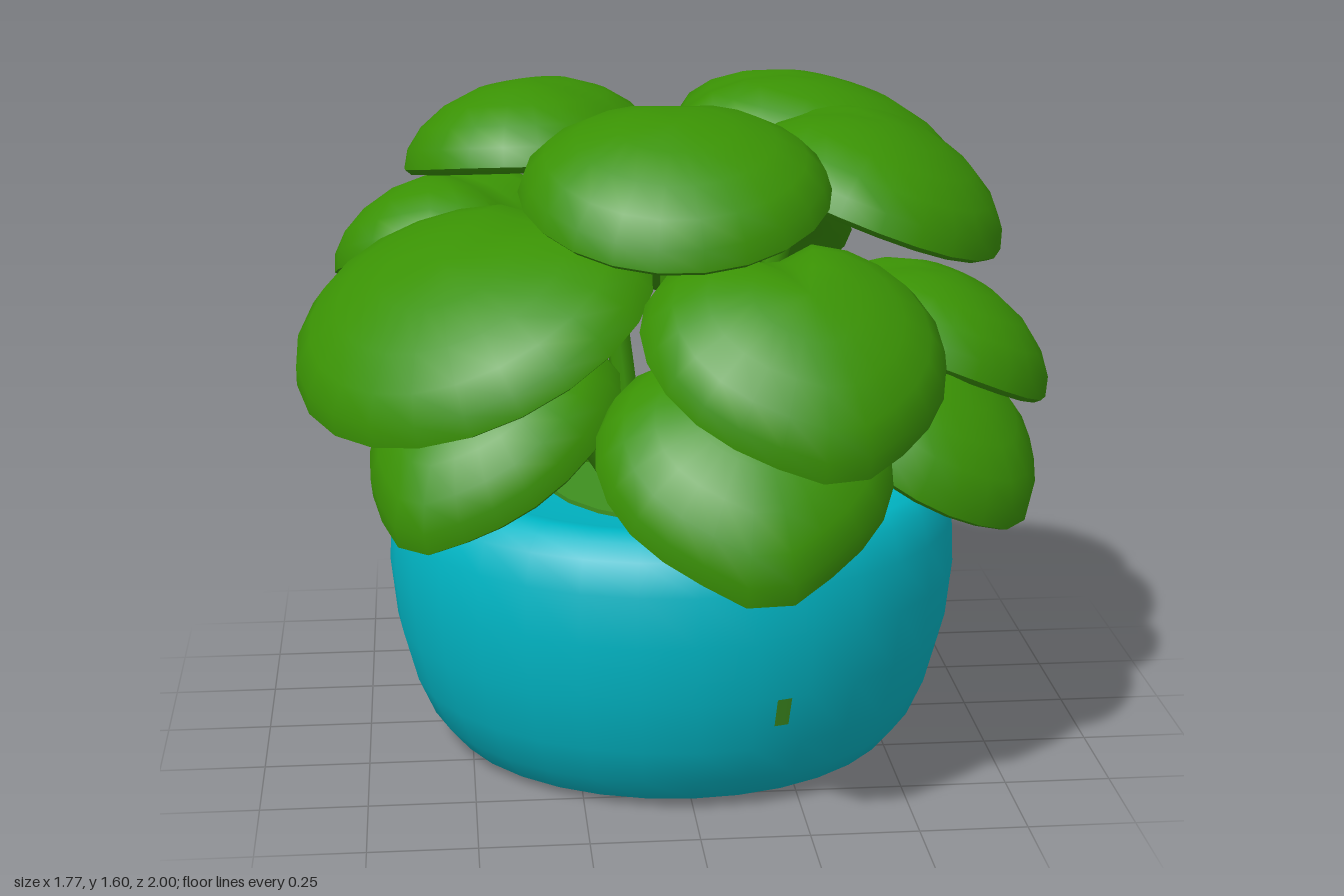
import * as THREE from 'three';
import { mergeVertices, toCreasedNormals } from 'three/addons/utils/BufferGeometryUtils.js';

const rad = THREE.MathUtils.degToRad;

// Domed leaf: convex top, shallow underside, tip towards +z and a notched base
function leafGeometry(halfWidth, halfLength, height, tip, notch) {
  let geo = new THREE.SphereGeometry(1, 22, 10);
  geo.deleteAttribute('uv');
  geo.deleteAttribute('normal');
  geo = mergeVertices(geo);
  const pos = geo.attributes.position;
  for (let i = 0; i < pos.count; i++) {
    const x = pos.getX(i), y = pos.getY(i), z = pos.getZ(i);
    const angle = Math.atan2(x, z);
    const a = Math.abs(angle);
    const s = Math.pow(Math.min(1, Math.hypot(x, z)), 0.85);
    const outline = 1 + tip * Math.exp(-((a / 0.35) ** 2))
      - notch * Math.exp(-(((Math.PI - a) / 0.3) ** 2));
    const u = s * outline * Math.sin(angle);
    const v = s * outline * Math.cos(angle);
    const crease = v < 0 ? 0.25 * notch * v * Math.exp(-((u / 0.2) ** 2)) : 0;
    const bend = -0.06 * v * v - 0.03 * u * u;
    const lift = y > 0 ? y * height + crease : y * 0.055;
    pos.setXYZ(i, u * halfWidth, lift + bend, v * halfLength);
  }
  return toCreasedNormals(geo, 0.75);
}

// x, y, z, half width, half length, heading (0 = front, 90 = +x), pitch, tip, notch
const LEAVES = [
  // upper tier, the right-hand pair overlapping as two lobes
  [-0.03, 1.455, 0.44, 0.35, 0.35, -3, 14, 0, 0.05],
  [0.39, 1.44, -0.18, 0.29, 0.39, 85, 15, 0, 0.1],
  [0.47, 1.39, 0.12, 0.36, 0.34, 70, 20, 0, 0.1],
  [-0.33, 1.455, -0.14, 0.31, 0.31, -120, 6, 0, 0.05],
  // middle tier
  [0.12, 1.13, -0.67, 0.42, 0.42, 172, 33, 0, 0.2],
  [-0.5, 1.15, 0.37, 0.46, 0.41, -50, 28, 0, 0.1],
  [0.21, 1.15, 0.71, 0.34, 0.34, 15, 30, 0.09, 0.25],
  [0.61, 1.04, 0.18, 0.29, 0.31, 85, 21, 0, 0.1],
  [-0.53, 1.18, -0.41, 0.31, 0.3, -128, 17, 0, 0.25],
  // lower tier
  [0.1, 0.9, 0.72, 0.33, 0.33, 5, 33, 0.14, 0.2],
  [0.55, 0.88, 0.4, 0.29, 0.31, 50, 30, 0.06, 0.2],
  [-0.45, 0.9, 0.41, 0.29, 0.33, -42, 31, 0.1, 0.15],
  [-0.58, 0.95, -0.04, 0.25, 0.29, -92, 25, 0, 0.1],
  [-0.42, 0.87, -0.45, 0.36, 0.36, -142, 30, 0, 0.1],
  [0.45, 0.87, -0.34, 0.29, 0.32, 128, 30, 0.08, 0.25],
];

// Thin moss streaks on the pot wall: angle, angular width, [radius, height] points
const STREAKS = [
  [96, 4, [[0.684, 0.35], [0.694, 0.45], [0.688, 0.56], [0.68, 0.6]]],
  [17, 3, [[0.662, 0.23], [0.68, 0.3]]],
  [-172, 3, [[0.688, 0.56], [0.68, 0.6]]],
  [-148, 3, [[0.68, 0.3], [0.685, 0.34]]],
  [-135, 3, [[0.68, 0.3], [0.685, 0.34]]],
];

const toProfile = (points) => points.map(([r, y]) => new THREE.Vector2(r, y));

export function createModel() {
  const group = new THREE.Group();
  const teal = new THREE.MeshStandardMaterial({ color: 0x00b7c6 });
  teal.name = 'teal glaze';
  const green = new THREE.MeshStandardMaterial({ color: 0x3a9204 });
  green.name = 'leaf green';
  const moss = new THREE.MeshStandardMaterial({ color: 0x3f9020, side: THREE.DoubleSide });
  moss.name = 'moss green';

  const add = (name, geo, mat) => {
    const mesh = new THREE.Mesh(geo, mat);
    mesh.name = name;
    group.add(mesh);
    return mesh;
  };

  // Rounded bowl-shaped pot with a nearly flat top
  const profile = toProfile([
    [0, 0], [0.5, 0], [0.55, 0.02], [0.6, 0.08], [0.64, 0.17], [0.675, 0.3], [0.69, 0.44],
    [0.685, 0.56], [0.665, 0.635], [0.635, 0.67], [0.59, 0.683], [0.54, 0.675], [0.5, 0.66], [0, 0.66],
  ]);
  const pot = add('pot', toCreasedNormals(new THREE.LatheGeometry(profile, 32), 0.7), teal);
  pot.position.z = 0.02;

  for (const [angle, width, points] of STREAKS) {
    const geo = new THREE.LatheGeometry(toProfile(points), 2, rad(angle - width / 2), rad(width));
    add('mossStreak', geo, moss).position.z = 0.02;
  }

  // Mossy filling on top, set towards the front
  const filling = add('filling', new THREE.CylinderGeometry(0.4, 0.4, 0.02, 24), moss);
  filling.position.set(0.08, 0.66, 0.1);

  // Leaves, each with a stem rising from the middle of the pot
  for (const [x, y, z, w, l, heading, pitch, tip, notch] of LEAVES) {
    const leaf = add('leaf', leafGeometry(w, l, 0.135, tip, notch), green);
    leaf.position.set(x, y, z);
    leaf.rotation.set(rad(pitch), rad(heading), 0, 'YXZ');

    const end = new THREE.Vector3(0, 0, -0.5 * l).applyEuler(leaf.rotation).add(leaf.position);
    const start = new THREE.Vector3(x * 0.25, 0.6, z * 0.25);
    const middle = start.clone().lerp(end, 0.5);
    middle.x *= 0.9;
    middle.z *= 0.9;
    const path = new THREE.QuadraticBezierCurve3(start, middle, end);
    add('stem', new THREE.TubeGeometry(path, 6, 0.03, 7), green);
  }
  return group;
}
